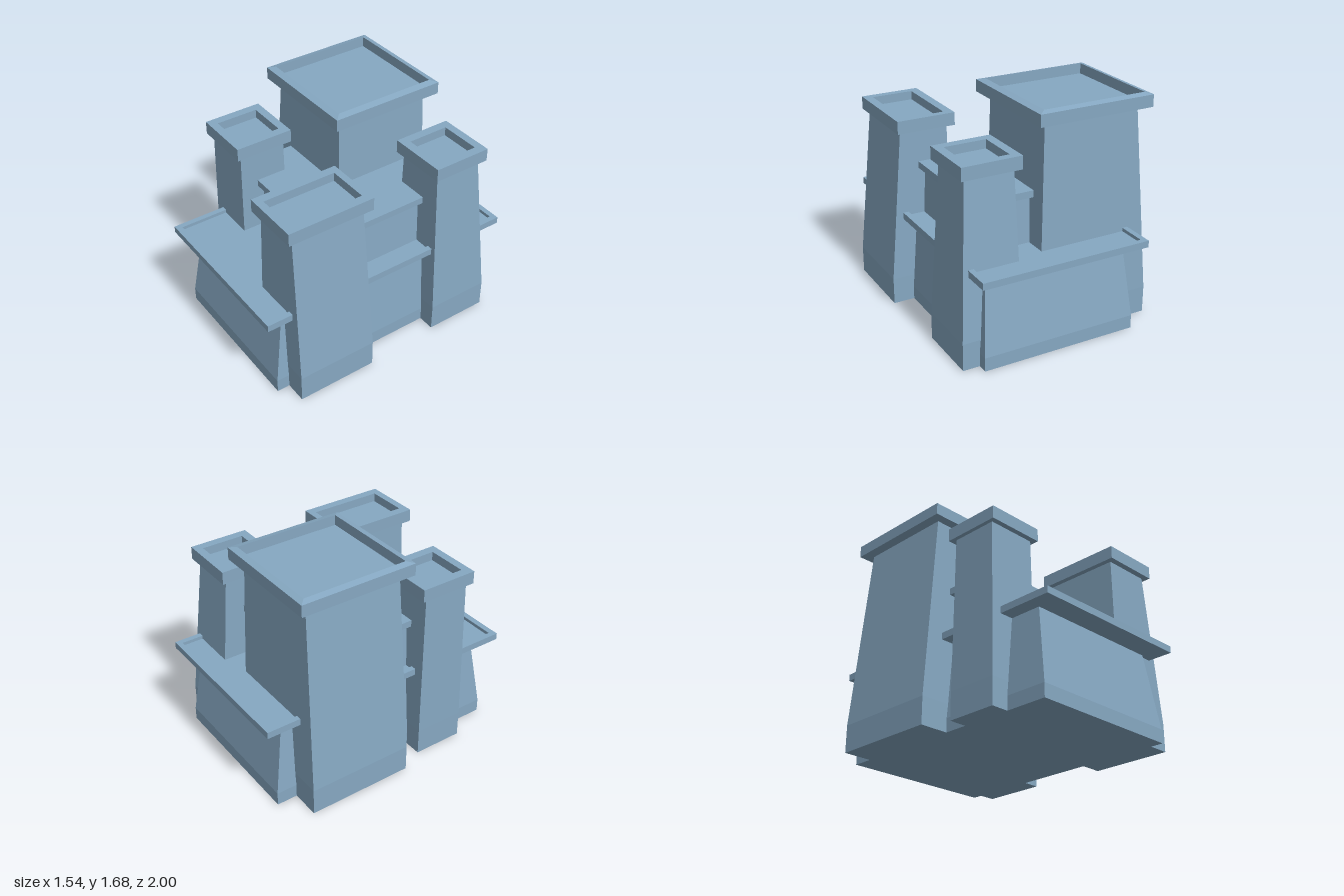
import * as THREE from 'three';

const material = new THREE.MeshStandardMaterial({ color: 0x86a8c2, flatShading: true });

// Closed loft through rectangular rings, each [y, x0, x1, z0, z1]
function loft(name, rings) {
  const corners = rings.map(([y, x0, x1, z0, z1]) =>
    [[x0, y, z1], [x1, y, z1], [x1, y, z0], [x0, y, z0]]);
  const pos = [];
  const quad = (a, b, c, d) => pos.push(...a, ...b, ...c, ...a, ...c, ...d);
  for (let i = 0; i < corners.length - 1; i++) {
    const lo = corners[i], hi = corners[i + 1];
    for (let k = 0; k < 4; k++) {
      const n = (k + 1) % 4;
      quad(lo[k], lo[n], hi[n], hi[k]);
    }
  }
  const [b, t] = [corners[0], corners[corners.length - 1]];
  quad(b[3], b[2], b[1], b[0]);
  quad(t[0], t[1], t[2], t[3]);
  const geometry = new THREE.BufferGeometry();
  geometry.setAttribute('position', new THREE.Float32BufferAttribute(pos, 3));
  geometry.computeVertexNormals();
  const mesh = new THREE.Mesh(geometry, material);
  mesh.name = name;
  return mesh;
}

// Tray with a sunken floor; lip raises the inner edge of the parapet
function parapet(name, y0, y1, floor, outer, inner, lip = 0) {
  return loft(name, [[y0, ...outer], [y1 - lip, ...outer], [y1, ...inner], [floor, ...inner]]);
}

// Wall with an upright plinth that tapers above it
function taperedWall(name, plinth, height, base, top) {
  return loft(name, [[0, ...base], [plinth, ...base], [height, ...top]]);
}

// Rectangles below are [x0, x1, z0, z1]
const towers = [
  { name: 'mainTower', y0: 1.585, y1: 1.685, floor: 1.61, lip: 0.012,
    base: [-0.775, 0.10, -0.76, 0.04], top: [-0.66, 0.065, -0.72, 0.01],
    outer: [-0.735, 0.14, -0.795, 0.08], inner: [-0.69, 0.09, -0.75, 0.03] },
  { name: 'frontRightTower', y0: 1.325, y1: 1.42, floor: 1.355, lip: 0,
    base: [-0.69, -0.30, 0.22, 0.60], top: [-0.68, -0.31, 0.23, 0.58],
    outer: [-0.71, -0.275, 0.185, 0.62], inner: [-0.645, -0.34, 0.245, 0.56] },
  { name: 'frontLeftTower', y0: 1.325, y1: 1.42, floor: 1.355, lip: 0,
    base: [0.285, 0.77, 0.215, 0.82], top: [0.30, 0.66, 0.24, 0.795],
    outer: [0.26, 0.70, 0.185, 0.84], inner: [0.325, 0.635, 0.235, 0.785] },
  { name: 'backLeftTower', y0: 1.325, y1: 1.42, floor: 1.355, lip: 0,
    base: [0.285, 0.735, -0.84, -0.36], top: [0.30, 0.66, -0.74, -0.38],
    outer: [0.26, 0.70, -0.785, -0.345], inner: [0.325, 0.635, -0.725, -0.41] },
];

export function createModel() {
  const model = new THREE.Group();
  model.name = 'fortress';

  // Lower terrace
  model.add(
    taperedWall('terraceWall', 0.1, 0.67, [-0.56, 0.61, -0.915, 0.915], [-0.505, 0.56, -0.83, 0.83]),
    parapet('terraceParapet', 0.66, 0.71, 0.685, [-0.61, 0.665, -1, 1], [-0.57, 0.625, -0.96, 0.955]),
  );

  // Central hall with a flat overhanging roof
  model.add(
    loft('hallWall', [[0.67, -0.51, 0.50, -0.585, 0.425], [1.04, -0.49, 0.48, -0.565, 0.405]]),
    loft('hallRoof', [[1.03, -0.54, 0.53, -0.615, 0.455], [1.08, -0.54, 0.53, -0.615, 0.455]]),
  );

  // Corner towers
  for (const t of towers) {
    const tower = new THREE.Group();
    tower.name = t.name;
    tower.add(
      taperedWall('towerWall', 0.2, t.y0 + 0.01, t.base, t.top),
      parapet('towerParapet', t.y0, t.y1, t.floor, t.outer, t.inner, t.lip),
    );
    model.add(tower);
  }
  return model;
}
